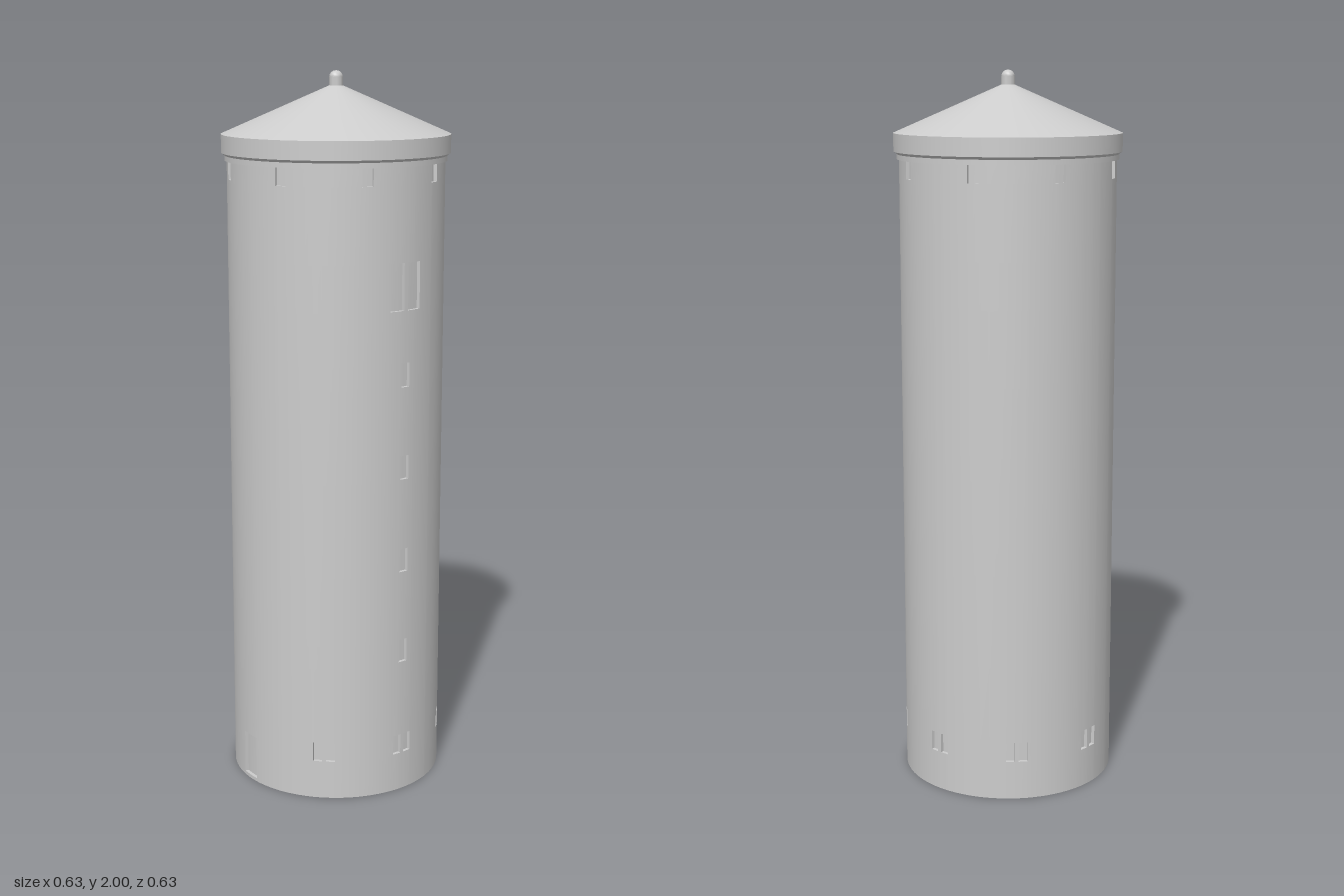
import * as THREE from 'three';
import { toCreasedNormals } from 'three/addons/utils/BufferGeometryUtils.js';

const R = 0.3, WALL_TOP = 1.765, DEPTH = 0.01, SEGMENTS = 72;
const TAU = Math.PI * 2, rad = THREE.MathUtils.degToRad;

// An opening is centred on an angle (0 = front, growing toward +x), with a width and a height range.
function listOpenings() {
  const list = [];
  const add = (angle, width, y0, y1) => {
    const a = ((angle % TAU) + TAU) % TAU, h = width / 2 / R;
    // one that crosses the seam is split in two
    if (a - h < 0) list.push({ a0: 0, a1: a + h, y0, y1 }, { a0: a - h + TAU, a1: TAU, y0, y1 });
    else if (a + h > TAU) list.push({ a0: a - h, a1: TAU, y0, y1 }, { a0: 0, a1: a + h - TAU, y0, y1 });
    else list.push({ a0: a - h, a1: a + h, y0, y1 });
  };
  const pair = (angle, offset, width, y0, y1) => {
    for (const s of [-1, 1]) add(angle + s * offset / R, width, y0, y1);
  };

  // ring of paired windows at the foot, interrupted by the door
  for (let i = 0; i < 8; i++) if (i !== 6) pair(rad(-5.2 + i * 45), 0.018, 0.025, 0.11, 0.166);
  add(rad(261), 0.062, 0.01, 0.135);
  // column of stair windows and the large pair above
  for (const y of [0.385, 0.65, 0.915, 1.172]) add(rad(-5.2), 0.028, y, y + 0.066);
  pair(rad(-5.2), 0.029, 0.045, 1.38, 1.508);
  // vents under the eave
  for (let i = 0; i < 8; i++) add(rad(17.3 + i * 45), 0.031, 1.712, WALL_TOP);
  return list;
}

// Cylindrical wall laid out as a grid of cells; cells inside an opening are set back.
function wallGeometry(openings) {
  const unique = (values) => values.sort((a, b) => a - b).filter((v, i, l) => i === 0 || v - l[i - 1] > 1e-5);
  const angles = unique([
    ...Array.from({ length: SEGMENTS + 1 }, (_, i) => (i / SEGMENTS) * TAU),
    ...openings.flatMap((o) => [o.a0, o.a1]),
  ]);
  const heights = unique([0, WALL_TOP, ...openings.flatMap((o) => [o.y0, o.y1])]);
  const cols = angles.length - 1, rows = heights.length - 1;

  const radius = (i, j) => {
    const c = (i + cols) % cols;
    const a = (angles[c] + angles[c + 1]) / 2, y = (heights[j] + heights[j + 1]) / 2;
    const open = openings.some((o) => a > o.a0 && a < o.a1 && y > o.y0 && y < o.y1);
    return open ? R - DEPTH : R;
  };
  const positions = [];
  const point = (a, r, y) => [r * Math.sin(a), y, r * Math.cos(a)];
  const quad = (a, b, c, d) => positions.push(...a, ...b, ...c, ...a, ...c, ...d);

  for (let i = 0; i < cols; i++) {
    for (let j = 0; j < rows; j++) {
      const a0 = angles[i], a1 = angles[i + 1], y0 = heights[j], y1 = heights[j + 1];
      const r = radius(i, j), left = radius(i - 1, j), below = j > 0 ? radius(i, j - 1) : r;
      quad(point(a0, r, y0), point(a1, r, y0), point(a1, r, y1), point(a0, r, y1));
      // reveals at the sides, sills and heads
      if (left !== r) quad(point(a0, left, y0), point(a0, r, y0), point(a0, r, y1), point(a0, left, y1));
      if (below !== r) quad(point(a0, below, y0), point(a1, below, y0), point(a1, r, y0), point(a0, r, y0));
    }
  }
  const geometry = new THREE.BufferGeometry();
  geometry.setAttribute('position', new THREE.Float32BufferAttribute(positions, 3));
  return toCreasedNormals(geometry, 0.5);
}

export function createModel() {
  const model = new THREE.Group();
  model.name = 'roundTower';
  const stone = new THREE.MeshStandardMaterial({ color: 0xcccccc });
  stone.name = 'light grey';

  const add = (name, geometry, y = 0) => {
    const mesh = new THREE.Mesh(geometry, stone);
    mesh.name = name;
    mesh.position.y = y;
    model.add(mesh);
    return mesh;
  };

  // shaft and its underside
  add('towerWall', wallGeometry(listOpenings()));
  add('base', new THREE.CircleGeometry(R, SEGMENTS).rotateX(Math.PI / 2));

  // eave: narrow band, splayed underside and rim
  add('eaveBand', new THREE.CylinderGeometry(0.306, 0.306, 0.016, SEGMENTS), 1.768);
  add('eaveSplay', new THREE.CylinderGeometry(0.315, 0.306, 0.008, SEGMENTS), 1.778);
  add('eaveRim', new THREE.CylinderGeometry(0.315, 0.315, 0.05, SEGMENTS), 1.806);

  // conical roof
  add('roof', new THREE.ConeGeometry(0.315, 0.137, SEGMENTS, 1, true), 1.8995);

  // finial: short post with a domed cap
  add('finialPost', new THREE.CylinderGeometry(0.019, 0.019, 0.03, 10), 1.968);
  add('finialCap', new THREE.SphereGeometry(0.019, 10, 4, 0, TAU, 0, Math.PI / 2).scale(1, 0.9, 1), 1.983);
  return model;
}
